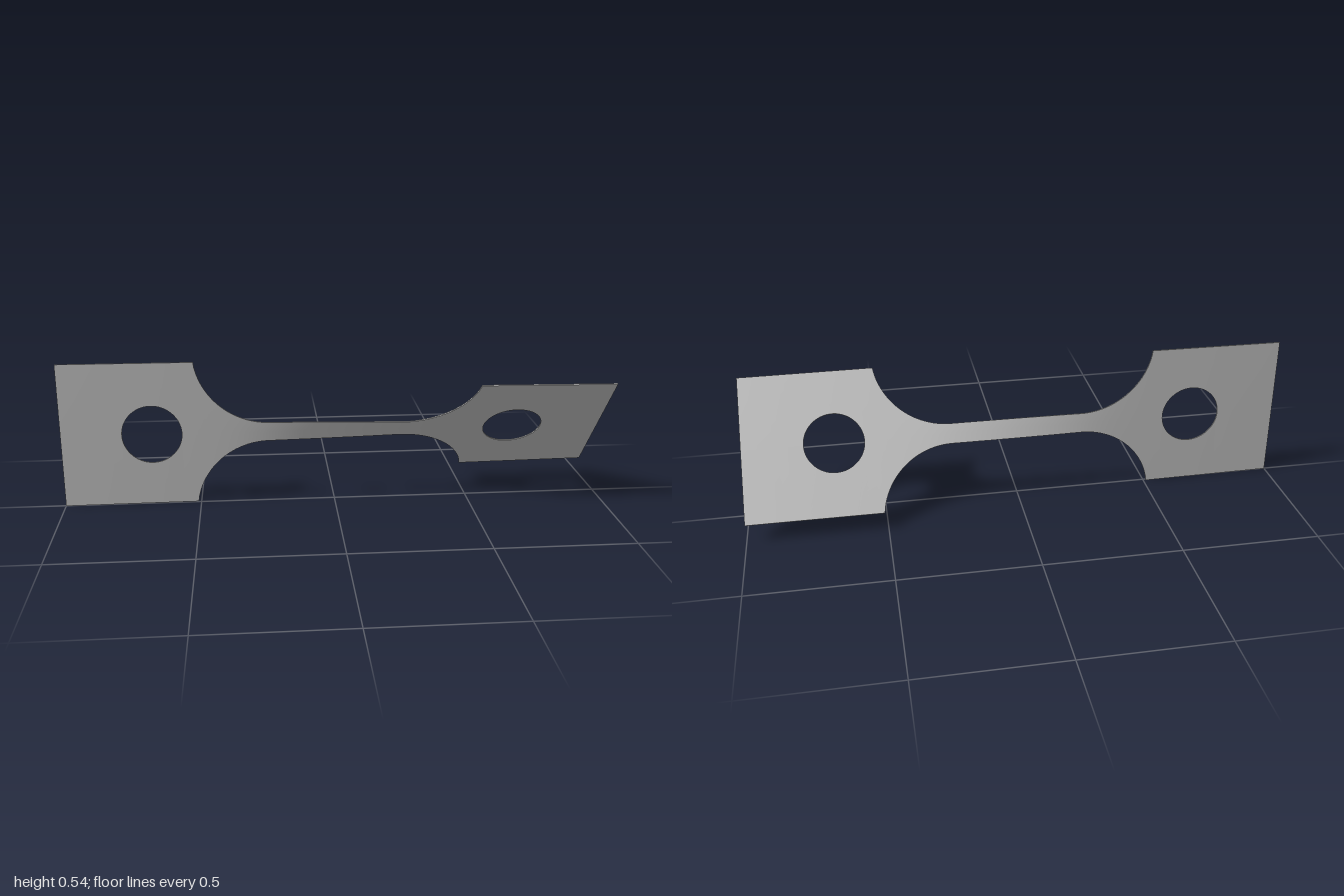
import * as THREE from 'three';
import { toCreasedNormals } from 'three/addons/utils/BufferGeometryUtils.js';

const HALF = 0.271, NECK = 0.037, FILLET = 0.27, FILLET_X = 0.243, SHOULDER = 0.51;
const HOLE_X = 0.67, HOLE_R = 0.109, THICK = 0.0045, TWIST = THREE.MathUtils.degToRad(41.2);

// Half width of the flat plate at x: neck, round fillet, square end
function halfWidth(x) {
  const a = Math.abs(x);
  if (a <= FILLET_X) return NECK;
  if (a >= SHOULDER) return HALF;
  const d = a - FILLET_X;
  return Math.min(HALF, NECK + FILLET - Math.sqrt(FILLET * FILLET - d * d));
}

// Half height of the round hole at x
function holeHalf(x) {
  const d = Math.abs(x) - HOLE_X;
  return Math.sqrt(Math.max(0, HOLE_R * HOLE_R - d * d));
}

// Stations along the length, denser around the arcs
function stations() {
  const xs = [];
  for (let i = 0; i <= 12; i++) xs.push(FILLET_X * i / 12);
  const end = Math.asin((SHOULDER - FILLET_X) / FILLET);
  for (let i = 1; i <= 24; i++) xs.push(FILLET_X + FILLET * Math.sin(end * i / 24));
  for (let i = 0; i <= 40; i++) xs.push(HOLE_X - HOLE_R * Math.cos(Math.PI * i / 40));
  for (let i = 1; i <= 4; i++) xs.push(HOLE_X + HOLE_R + (1 - HOLE_X - HOLE_R) * i / 4);
  return [...xs.slice(1).reverse().map((x) => -x), ...xs];
}

// Twist gathers mostly in the narrow neck
function twistAngles(xs) {
  const sum = [0];
  for (let i = 1; i < xs.length; i++) {
    const w = halfWidth((xs[i] + xs[i - 1]) / 2);
    sum.push(sum[i - 1] + (xs[i] - xs[i - 1]) / Math.pow(w, 1.5));
  }
  return sum.map((s) => TWIST * s / sum[sum.length - 1]);
}

function twistedPlate() {
  const xs = stations(), angles = twistAngles(xs), pos = [];
  for (const side of [1, -1]) {
    // Section corners: inner front, outer front, outer back, inner back
    const rings = xs.map((x, i) => {
      const c = Math.cos(angles[i]), s = Math.sin(angles[i]);
      const inner = side * holeHalf(x), outer = side * halfWidth(x), t = THICK / 2;
      return [[inner, t], [outer, t], [outer, -t], [inner, -t]]
        .map(([v, n]) => [x, HALF + v * c - n * s, v * s + n * c]);
    });
    const quad = (a, b, c, d) => {
      const q = side > 0 ? [a, b, c, a, c, d] : [a, c, b, a, d, c];
      q.forEach((p) => pos.push(...p));
    };
    for (let i = 0; i < xs.length - 1; i++) {
      const p = rings[i], q = rings[i + 1];
      const hasHole = holeHalf(xs[i]) + holeHalf(xs[i + 1]) > 1e-5;
      for (let k = 0; k < (hasHole ? 4 : 3); k++) {
        const n = (k + 1) % 4;
        quad(p[k], q[k], q[n], p[n]);
      }
    }
    // End edges
    const a = rings[0], b = rings[rings.length - 1];
    quad(a[0], a[1], a[2], a[3]);
    quad(b[3], b[2], b[1], b[0]);
  }
  const geo = new THREE.BufferGeometry();
  geo.setAttribute('position', new THREE.Float32BufferAttribute(pos, 3));
  return toCreasedNormals(geo, 0.6);
}

export function createModel() {
  const group = new THREE.Group();
  group.name = 'twistedBracket';
  const metal = new THREE.MeshStandardMaterial({ color: 0xc0c0c0 });
  metal.name = 'light grey metal';
  const plate = new THREE.Mesh(twistedPlate(), metal);
  plate.name = 'twistedPlate';
  group.add(plate);
  return group;
}
